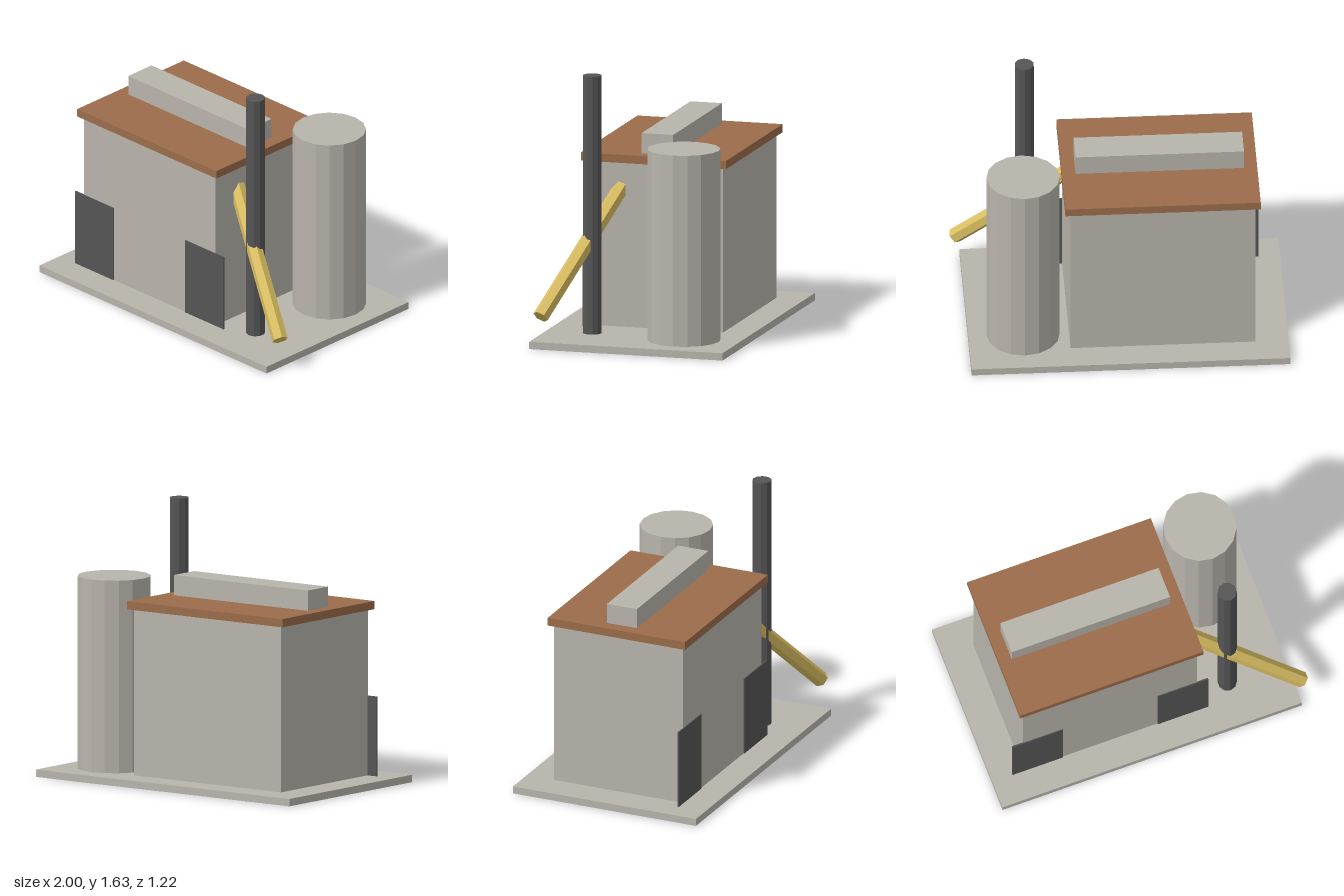
import * as THREE from 'three';

const material = (name, color) => {
  const m = new THREE.MeshStandardMaterial({ color, flatShading: true });
  m.name = name;
  return m;
};

export function createModel() {
  const model = new THREE.Group();
  model.name = 'factory';
  const concrete = material('concrete grey', 0xb8b4ac);
  const rust = material('roof brown', 0x9b6c4a);
  const dark = material('dark steel', 0x555556);
  const yellow = material('conveyor yellow', 0xd9be62);

  const add = (name, geometry, mat) => {
    const mesh = new THREE.Mesh(geometry, mat);
    mesh.name = name;
    model.add(mesh);
    return mesh;
  };

  // Box given by its lower and upper corners
  const box = (name, mat, [x0, y0, z0], [x1, y1, z1]) =>
    add(name, new THREE.BoxGeometry(x1 - x0, y1 - y0, z1 - z0), mat)
      .position.set((x0 + x1) / 2, (y0 + y1) / 2, (z0 + z1) / 2);

  // Upright cylinder standing between two heights
  const column = (name, mat, x, z, radius, y0, y1, sides) =>
    add(name, new THREE.CylinderGeometry(radius, radius, y1 - y0, sides), mat)
      .position.set(x, (y0 + y1) / 2, z);

  // Slab, hall, roof and roof vent
  box('baseSlab', concrete, [-1, 0, -0.61], [0.93, 0.045, 0.61]);
  box('hall', concrete, [-0.8, 0.04, -0.43], [0.32, 1.06, 0.43]);
  box('roof', rust, [-0.83, 1.06, -0.458], [0.353, 1.11, 0.458]);
  box('roofVent', concrete, [-0.75, 1.105, -0.1], [0.27, 1.234, 0.1]);

  // Two loading doors on the front wall
  for (const [name, x] of [['rightDoor', -0.87], ['leftDoor', 0.067]]) {
    box(name, dark, [x, 0.045, 0.427], [x + 0.325, 0.532, 0.436]);
  }

  // Silo and chimney
  column('silo', concrete, 0.598, -0.266, 0.222, 0.04, 1.222, 16);
  column('chimney', dark, 0.555, 0.325, 0.059, 0.001, 1.632, 10);

  // Six-sided conveyor sloping out of the side wall, with one edge on top
  const low = new THREE.Vector3(0.964, 0.21, 0.528);
  const high = new THREE.Vector3(0.22, 0.975, 0.186);
  const axis = low.clone().sub(high);
  const length = axis.length();
  axis.normalize();
  const up = new THREE.Vector3(0, 1, 0).addScaledVector(axis, -axis.y).normalize();
  const side = new THREE.Vector3().crossVectors(axis, up);
  const conveyor = add('conveyor', new THREE.CylinderGeometry(0.049, 0.049, length, 6), yellow);
  conveyor.quaternion.setFromRotationMatrix(new THREE.Matrix4().makeBasis(side, axis, up));
  conveyor.position.addVectors(low, high).multiplyScalar(0.5);

  return model;
}
